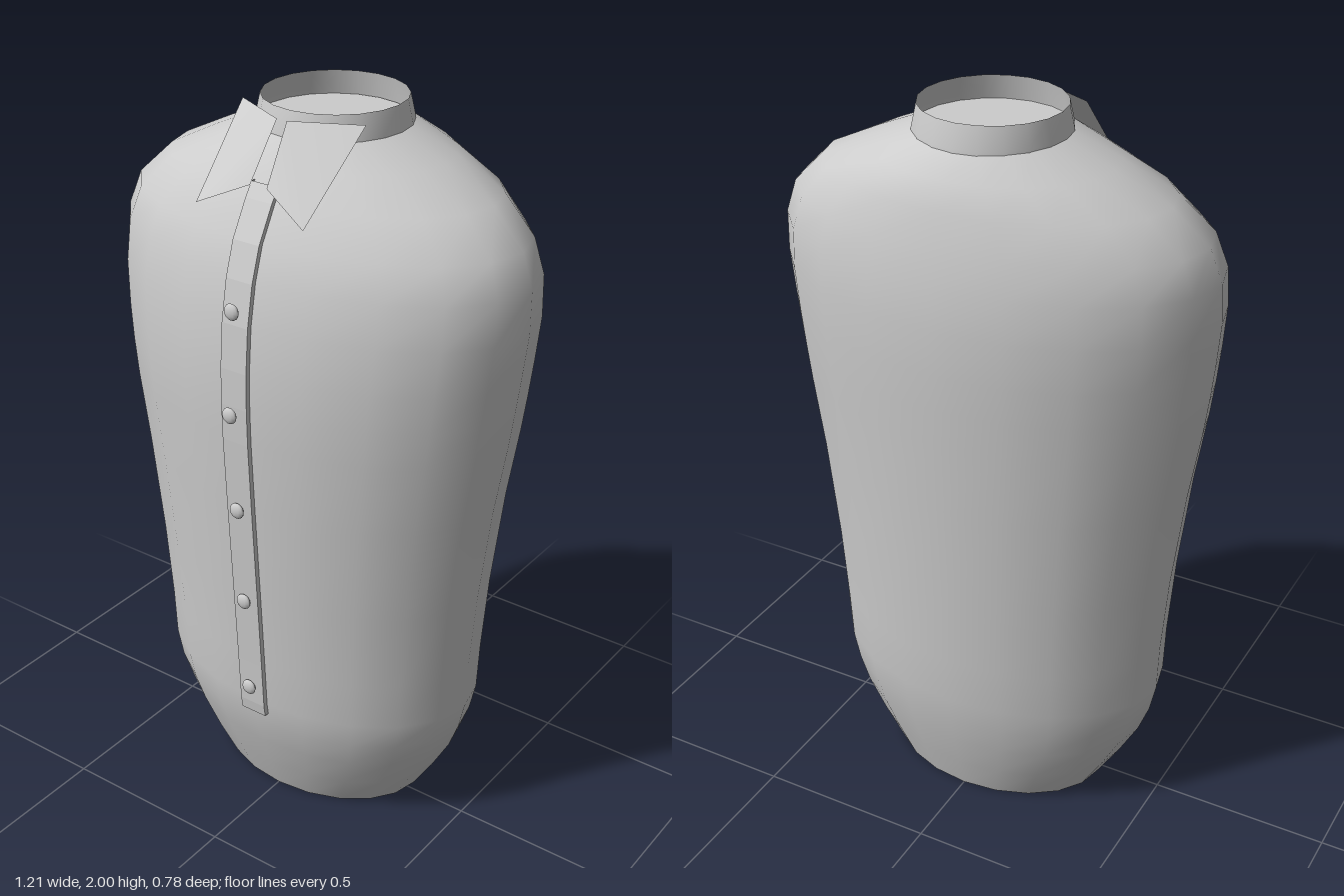
import * as THREE from 'three';

// Torso profile rows: height, half width, front z, back z
const PROFILE = [
  [0, 0.32, 0.205, -0.255], [0.1, 0.383, 0.243, -0.285], [0.2, 0.438, 0.275, -0.31],
  [0.28, 0.468, 0.297, -0.325], [0.36, 0.485, 0.308, -0.336], [0.5, 0.49, 0.315, -0.345],
  [0.72, 0.507, 0.327, -0.355], [1.0, 0.54, 0.343, -0.369], [1.2, 0.572, 0.353, -0.38],
  [1.3, 0.585, 0.355, -0.385], [1.4, 0.596, 0.353, -0.389], [1.52, 0.607, 0.343, -0.39],
  [1.63, 0.603, 0.322, -0.382], [1.72, 0.57, 0.292, -0.365], [1.81, 0.475, 0.24, -0.345],
  [1.88, 0.33, 0.19, -0.318], [1.935, 0.2, 0.135, -0.26],
];
const SIDES = 20;

// Front depth of the torso at a given height
function frontZ(y) {
  const i = Math.max(1, PROFILE.findIndex((r) => r[0] >= y));
  const a = PROFILE[i - 1], b = PROFILE[i];
  return THREE.MathUtils.lerp(a[2], b[2], (y - a[0]) / (b[0] - a[0]));
}

function surface(points, index) {
  const g = new THREE.BufferGeometry();
  g.setAttribute('position', new THREE.Float32BufferAttribute(points, 3));
  g.setIndex(index);
  g.computeVertexNormals();
  return g;
}

function ring([y, rx, front, back]) {
  const points = [];
  for (let j = 0; j < SIDES; j++) {
    const a = (j / SIDES) * Math.PI * 2;
    points.push(Math.sin(a) * rx, y, (front + back) / 2 + Math.cos(a) * (front - back) / 2);
  }
  return points;
}

// Smooth walls through a stack of elliptical rings
function loft(rows) {
  const index = [];
  for (let i = 0; i < rows.length - 1; i++) {
    for (let j = 0; j < SIDES; j++) {
      const k = (j + 1) % SIDES;
      const a = i * SIDES + j, b = i * SIDES + k;
      index.push(a, b, b + SIDES, a, b + SIDES, a + SIDES);
    }
  }
  return surface(rows.flatMap(ring), index);
}

function cap(row, up) {
  const index = [];
  for (let j = 1; j < SIDES - 1; j++) index.push(0, up ? j : j + 1, up ? j + 1 : j);
  return surface(ring(row), index);
}

export function createModel() {
  const model = new THREE.Group();
  model.name = 'shirt';
  const cloth = new THREE.MeshStandardMaterial({ color: 0xcccccc, side: THREE.DoubleSide });
  cloth.name = 'light grey';
  const add = (name, geometry) => {
    const mesh = new THREE.Mesh(geometry, cloth);
    mesh.name = name;
    model.add(mesh);
    return mesh;
  };

  // Torso with closed hem and neck
  add('torso', loft(PROFILE));
  add('hemBase', cap(PROFILE[0], false));
  add('neckFloor', cap(PROFILE[PROFILE.length - 1], true));

  // Open collar band
  add('collarBand', loft([[1.915, 0.202, 0.138, -0.266], [1.94, 0.2, 0.136, -0.264], [2, 0.187, 0.122, -0.25]]));

  // Button strip following the chest
  const heights = [0.325, ...PROFILE.map((r) => r[0]).filter((y) => y > 0.33 && y < 1.84), 1.845];
  const points = [], index = [];
  heights.forEach((y, i) => {
    const z = frontZ(y);
    // columns: buried left edge, left, right, buried right edge
    points.push(-0.04, y, z - 0.012, -0.04, y, z + 0.01, 0.04, y, z + 0.01, 0.04, y, z - 0.012);
    if (i === 0) return;
    for (let c = 0; c < 3; c++) {
      const a = (i - 1) * 4 + c;
      index.push(a, a + 1, a + 5, a, a + 5, a + 4);
    }
  });
  const flat = surface(points, index).toNonIndexed();
  flat.computeVertexNormals();
  add('buttonStrip', flat);

  // Flattened round buttons
  [[0.42, 0.332], [0.71, 0.346], [1.0, 0.364], [1.285, 0.383], [1.56, 0.364]].forEach(([y, z], i) => {
    const button = add(`button${i + 1}`, new THREE.SphereGeometry(0.022, 12, 8));
    button.scale.z = 0.45;
    button.position.set(0, y, z);
  });

  // Pointed collar flaps, mirrored
  for (const s of [1, -1]) {
    const corners = [
      [0.015, 1.985, 0.155], [0.025, 1.845, 0.25], [0.162, 1.783, 0.29], [0.186, 1.985, 0.07],
    ].flatMap(([x, y, z]) => [x * s, y, z]);
    add(s > 0 ? 'leftCollarFlap' : 'rightCollarFlap',
      surface(corners, s > 0 ? [0, 1, 2, 0, 2, 3] : [0, 2, 1, 0, 3, 2]));
  }
  return model;
}
